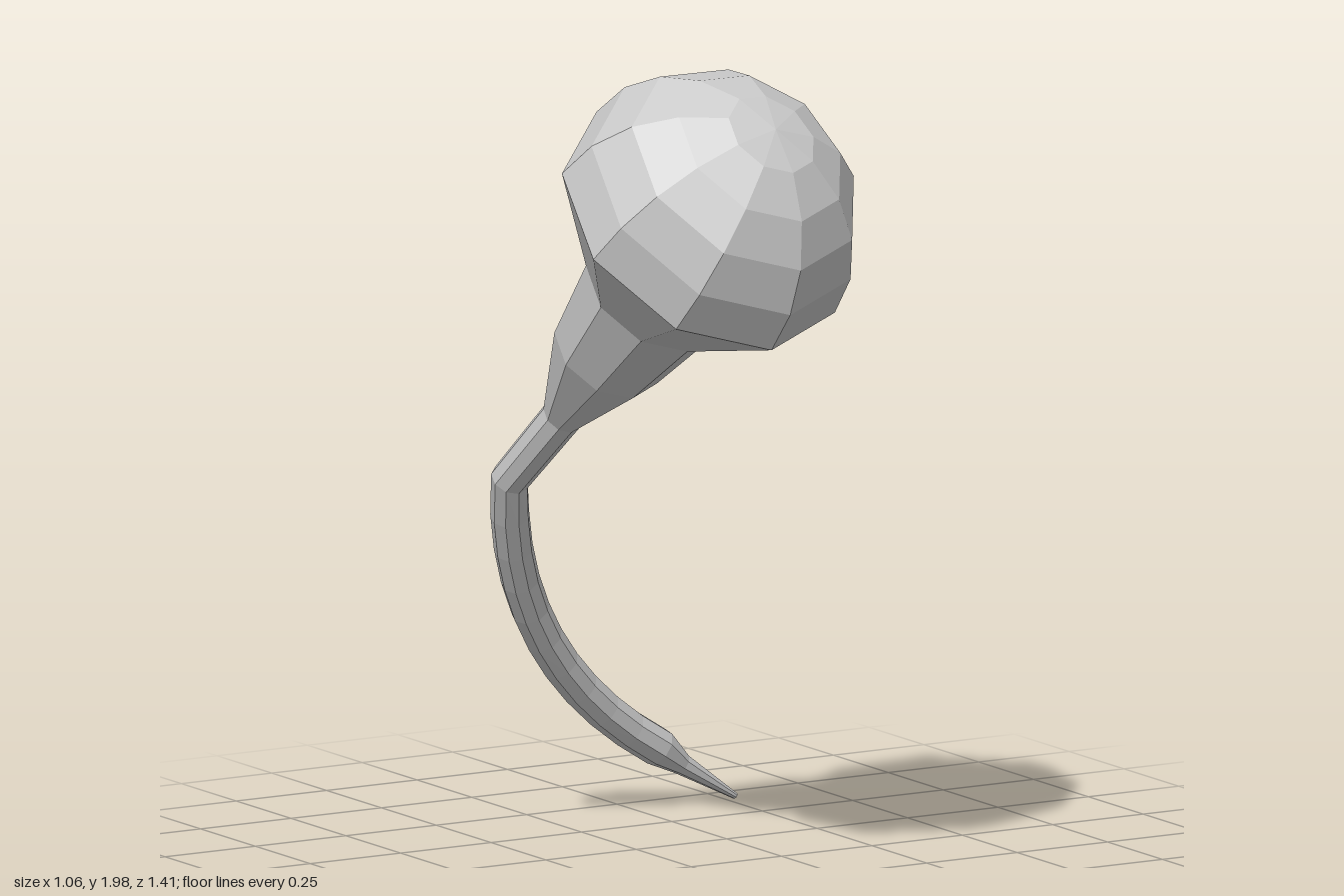
import * as THREE from 'three';

const SIDES = 9;
const V = (x, y, z) => new THREE.Vector3(x, y, z);

// Cross-sections square to the path, carried along it without twisting
function makeRings(stations, startDir) {
  const u = startDir.clone();
  return stations.map(({ p, r }, i) => {
    const before = stations[Math.max(i - 1, 0)].p;
    const after = stations[Math.min(i + 1, stations.length - 1)].p;
    const t = after.clone().sub(before).normalize();
    u.addScaledVector(t, -u.dot(t)).normalize();
    const v = t.clone().cross(u);
    return Array.from({ length: SIDES }, (_, j) => {
      const a = (j / SIDES) * Math.PI * 2;
      return p.clone().addScaledVector(u, r * Math.cos(a)).addScaledVector(v, r * Math.sin(a));
    });
  });
}

// Faceted skin between consecutive rings
function skin(name, rings, material) {
  const points = [];
  const tri = (a, b, c) => {
    const area = b.clone().sub(a).cross(c.clone().sub(a)).length();
    if (area > 1e-8) points.push(a, b, c);
  };
  for (let i = 0; i < rings.length - 1; i++) {
    for (let j = 0; j < SIDES; j++) {
      const k = (j + 1) % SIDES;
      tri(rings[i][j], rings[i][k], rings[i + 1][j]);
      tri(rings[i][k], rings[i + 1][k], rings[i + 1][j]);
    }
  }
  const geometry = new THREE.BufferGeometry().setFromPoints(points);
  geometry.computeVertexNormals();
  const mesh = new THREE.Mesh(geometry, material);
  mesh.name = name;
  return mesh;
}

export function createModel() {
  const group = new THREE.Group();
  group.name = 'bulbWithTail';
  const material = new THREE.MeshStandardMaterial({ color: 0xcccccc, flatShading: true });

  const stations = [];
  const add = (p, r) => stations.push({ p, r });

  // Domed end of the head, from the pole to the widest ring
  const centre = V(-0.17, 1.628, 0.335);
  const axis = V(0.12, 0.72, 0.69).normalize();
  const radius = 0.375;
  const bands = 5;
  for (let i = 0; i <= bands; i++) {
    const a = (i / bands) * Math.PI / 2;
    add(centre.clone().addScaledVector(axis, radius * Math.cos(a)), i ? radius * Math.sin(a) : 0);
  }

  // Head narrowing into the neck
  add(V(-0.2, 1.445, 0.163), 0.182);
  const headEnd = stations.length;
  add(V(-0.225, 1.272, -0.01), 0.14);
  add(V(-0.247, 1.09, -0.18), 0.05);

  // Curved tail, starting at the bend
  const tailStart = stations.length;
  const curve = new THREE.QuadraticBezierCurve3(
    V(-0.28, 0.91, -0.365), V(-0.135, 0.41, -0.635), V(0.31, 0.155, -0.66));
  curve.getPoints(10).forEach((p) => add(p, 0.047));

  // Pointed tip
  add(V(0.375, 0.108, -0.663), 0.027);
  add(V(0.525, 0.015, -0.665), 0.008);
  add(V(0.526, 0.0145, -0.665), 0);

  const rings = makeRings(stations, V(0.069, -0.688, 0.722));
  group.add(
    skin('head', rings.slice(0, headEnd), material),
    skin('neck', rings.slice(headEnd - 1, tailStart + 1), material),
    skin('tail', rings.slice(tailStart), material),
  );
  return group;
}
